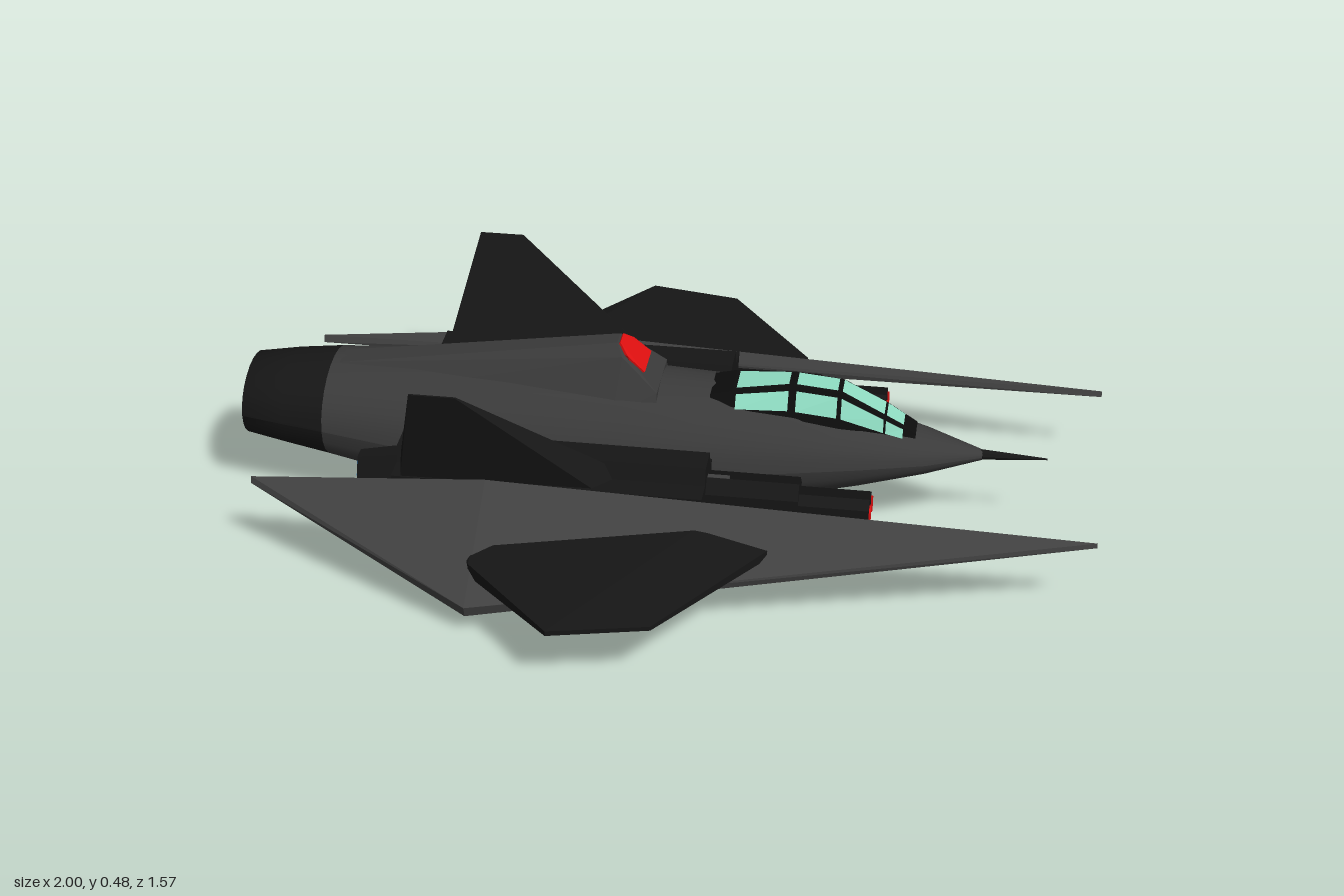
import * as THREE from 'three';
import { ConvexGeometry } from 'three/addons/geometries/ConvexGeometry.js';

const mat = (color, extra = {}) => new THREE.MeshStandardMaterial({ color, ...extra });
const hullGrey = mat(0x3a3a3a), panelGrey = mat(0x404040), dark = mat(0x161616);
const black = mat(0x0c0c0c, { side: THREE.DoubleSide });
const red = mat(0xe01010), blue = mat(0x2a6ea8), glass = mat(0x8fdcc2, { side: THREE.DoubleSide });

function add(parent, name, geometry, material) {
  const mesh = new THREE.Mesh(geometry, material);
  mesh.name = name;
  parent.add(mesh);
  return mesh;
}

// Convex solid around a few corners
const solid = (pts) => new ConvexGeometry(pts.map((p) => new THREE.Vector3(...p)));
// Each [x, y, z] becomes a pair at +z and -z
const both = (pts) => pts.flatMap(([x, y, z]) => [[x, y, z], [x, y, -z]]);

// Elliptical skin through stations [x, bottom, top, halfWidth]
function ellipseLoft(stations, sides = 24) {
  const pos = [], idx = [], n = sides + 1;
  stations.forEach(([x, lo, hi, w], i) => {
    for (let j = 0; j <= sides; j++) {
      const a = (j / sides) * Math.PI * 2;
      pos.push(x, (lo + hi) / 2 + ((hi - lo) / 2) * Math.sin(a), w * Math.cos(a));
      if (i && j) {
        const A = (i - 1) * n + j - 1, B = A + 1, D = A + n, C = B + n;
        idx.push(A, D, C, A, C, B);
      }
    }
  });
  const g = new THREE.BufferGeometry();
  g.setAttribute('position', new THREE.Float32BufferAttribute(pos, 3));
  g.setIndex(idx);
  g.computeVertexNormals();
  return g;
}

// Rod or nacelle along x, with a flattened section
function xCylinder(r0, r1, x0, x1, y, z, sides, squash = 1) {
  const g = new THREE.CylinderGeometry(r1, r0, x1 - x0, sides).toNonIndexed();
  g.rotateZ(-Math.PI / 2).scale(1, 1, squash).translate((x0 + x1) / 2, y, z);
  g.computeVertexNormals();
  return g;
}

function buildFuselage(root) {
  add(root, 'fuselage', ellipseLoft([
    [-0.8, 0.097, 0.335, 0.155], [-0.6, 0.052, 0.345, 0.175], [-0.37, 0.003, 0.35, 0.186],
    [-0.1, 0.022, 0.347, 0.184], [0.12, 0.045, 0.335, 0.172], [0.3, 0.078, 0.315, 0.147],
    [0.45, 0.112, 0.285, 0.115], [0.6, 0.15, 0.245, 0.072], [0.73, 0.185, 0.208, 0.014],
  ]), hullGrey);
  add(root, 'noseProbe', xCylinder(0.013, 0.002, 0.72, 0.88, 0.197, 0, 8), dark);

  // Hollow tail nozzle with a glowing core
  add(root, 'tailNozzle', ellipseLoft([
    [-0.86, 0.16, 0.28, 0.07], [-0.99, 0.155, 0.287, 0.09], [-1, 0.133, 0.31, 0.12],
    [-0.9, 0.115, 0.325, 0.14], [-0.8, 0.097, 0.335, 0.155],
  ]), mat(0x161616, { side: THREE.DoubleSide }));
  add(root, 'nozzleGlow', xCylinder(0.062, 0.062, -0.87, -0.85, 0.22, 0, 20), blue);

  // Raised spine with a red intake on its sloped front
  add(root, 'spine', solid(both([
    [-0.78, 0.335, 0.03], [-0.72, 0.28, 0.07], [-0.12, 0.437, 0.022],
    [-0.105, 0.415, 0.05], [-0.02, 0.343, 0.08], [-0.02, 0.29, 0.1], [-0.12, 0.29, 0.11],
  ])), hullGrey);
  add(root, 'spineIntake', solid(both([
    [-0.113, 0.438, 0.022], [-0.092, 0.416, 0.046], [-0.052, 0.38, 0.05],
    [-0.13, 0.415, 0.02], [-0.08, 0.37, 0.045],
  ])), red);
}

function buildCanopy(root) {
  // Stations: x, base y, base half width, shoulder y, shoulder half width
  const st = [
    [0.1, 0.3, 0.075, 0.334, 0.05], [0.15, 0.285, 0.095, 0.346, 0.05], [0.29, 0.272, 0.09, 0.362, 0.034],
    [0.4, 0.255, 0.08, 0.352, 0.034], [0.5, 0.235, 0.06, 0.3, 0.036], [0.575, 0.225, 0.045, 0.256, 0.028],
  ];
  const rows = st.map(([x, by, bw, sy, sw]) =>
    [[x, by, bw], [x, sy, sw], [x, sy, -sw], [x, by, -bw]].map((p) => new THREE.Vector3(...p)));
  const frame = [], panes = [];
  const quad = (out, a, b, c, d) => [a, b, c, a, c, d].forEach((p) => out.push(p.x, p.y, p.z));
  for (let i = 0; i < rows.length - 1; i++) {
    for (let j = 0; j < 3; j++) {
      const [a, b, c, d] = [rows[i][j], rows[i + 1][j], rows[i + 1][j + 1], rows[i][j + 1]];
      quad(frame, a, b, c, d);
      if (i === 0) continue;
      // Pane set slightly proud of the frame, leaving a border
      const nrm = b.clone().sub(a).cross(d.clone().sub(a)).normalize().multiplyScalar(0.003);
      const at = (u, v) => a.clone().lerp(b, u).lerp(d.clone().lerp(c, u), v).add(nrm);
      const u0 = i === 3 ? 0.02 : 0.07, u1 = i === 4 ? 0.6 : i === 3 ? 1 : 0.93;
      const v0 = j === 0 ? 0.45 : 0.1, v1 = j === 2 ? 0.55 : 0.9;
      quad(panes, at(u0, v0), at(u1, v0), at(u1, v1), at(u0, v1));
    }
  }
  quad(frame, rows[0][0], rows[0][1], rows[0][2], rows[0][3]);
  quad(frame, ...rows[rows.length - 1]);
  for (const [name, pos, material] of [['canopyFrame', frame, black], ['canopyGlass', panes, glass]]) {
    const g = new THREE.BufferGeometry();
    g.setAttribute('position', new THREE.Float32BufferAttribute(pos, 3));
    g.computeVertexNormals();
    add(root, name, g, material);
  }
}

function buildSide(name, sign) {
  const side = new THREE.Group();
  side.name = name;
  side.scale.z = sign;

  // Long slanted blade panel
  add(side, 'bladePanel', solid([
    [-0.92, 0.195, 0.335], [-0.92, 0.178, 0.328], [-0.92, 0.18, 0.34],
    [-0.37, 0.245, 0.35], [-0.37, 0.205, 0.325], [-0.37, 0.076, 0.615], [-0.37, 0.05, 0.608],
    [1, 0.195, 0.335], [1, 0.182, 0.33], [1, 0.184, 0.337],
  ]), panelGrey);

  // Stub wing cutting through the panel
  add(side, 'wing', solid([
    [-0.155, 0.155, 0.785], [-0.155, 0.143, 0.785], [0.065, 0.158, 0.74], [0.065, 0.148, 0.74],
    [-0.375, 0.14, 0.535], [-0.375, 0.108, 0.535], [0.28, 0.172, 0.435], [0.28, 0.15, 0.435],
    [0.115, 0.19, 0.4], [-0.375, 0.16, 0.4], [0.12, 0.1, 0.34], [-0.45, 0.1, 0.34],
  ]), dark);

  // Outward leaning tail fin
  add(side, 'tailFin', solid([
    [-0.525, 0.48, 0.397], [-0.42, 0.48, 0.397], [-0.525, 0.48, 0.392], [-0.42, 0.48, 0.392],
    [-0.59, 0.22, 0.25], [-0.07, 0.235, 0.255], [-0.57, 0.22, 0.335], [-0.12, 0.22, 0.325],
  ]), dark);

  // Pylon and hexagonal engine pod between fuselage and blade
  const pylon = new THREE.BoxGeometry(0.71, 0.12, 0.2);
  pylon.translate(-0.235, 0.17, 0.24);
  add(side, 'pylon', pylon, dark);
  add(side, 'enginePod', xCylinder(0.115, 0.115, -0.59, 0.12, 0.17, 0.235, 6, 0.6), dark);
  add(side, 'podTail', xCylinder(0.055, 0.075, -0.69, -0.59, 0.17, 0.235, 6, 0.6), dark);
  add(side, 'podGlow', xCylinder(0.038, 0.038, -0.693, -0.685, 0.17, 0.235, 6, 0.6), blue);

  // Twin half-hexagon barrels with red muzzles, either side of a divider
  for (const s of [-1, 1]) {
    const barrel = (x0, x1, h, z0, z1) => solid([x0, x1].flatMap((x) => [
      [x, 0.175 - h, 0.235 + s * z0], [x, 0.175 + h, 0.235 + s * z0],
      [x, 0.175 - h / 2, 0.235 + s * z1], [x, 0.175 + h / 2, 0.235 + s * z1],
    ]));
    add(side, 'barrelBase', barrel(0.1, 0.33, 0.06, 0.016, 0.043), dark);
    add(side, 'barrel', barrel(0.32, 0.49, 0.035, 0.018, 0.04), dark);
    add(side, 'muzzle', barrel(0.485, 0.494, 0.022, 0.021, 0.037), red);
  }
  const divider = new THREE.BoxGeometry(0.06, 0.11, 0.014);
  divider.translate(0.14, 0.175, 0.235);
  add(side, 'barrelDivider', divider, panelGrey);
  return side;
}

export function createModel() {
  const root = new THREE.Group();
  root.name = 'jetFighter';
  buildFuselage(root);
  buildCanopy(root);
  root.add(buildSide('nearSide', 1), buildSide('farSide', -1));
  return root;
}
